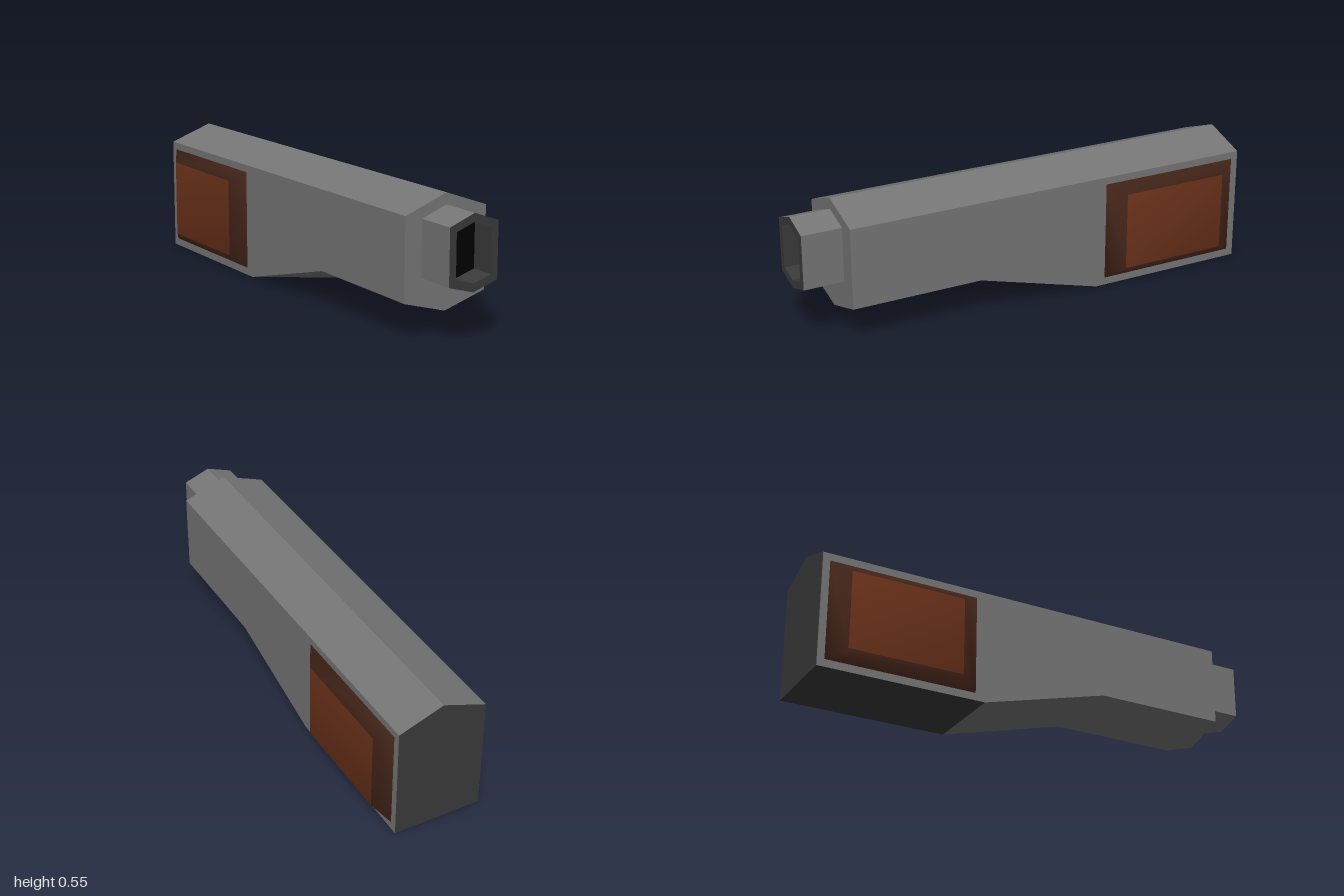
import * as THREE from 'three';

// Six-sided outline, counter-clockwise: bottom point, low shoulders, high shoulders, top point
const hexagon = (w, bottom, low, high, top) =>
  [[0, bottom], [w, low], [w, high], [0, top], [-w, high], [-w, low]];

// Skin between outlines placed along z, one normal per panel;
// back-to-front faces outward, front-to-back faces inward
function loft(sections, closed = true) {
  const pos = [], nor = [];
  for (let s = 0; s < sections.length - 1; s++) {
    const [p, z0] = sections[s], [q, z1] = sections[s + 1];
    for (let i = 0; i < (closed ? p.length : p.length - 1); i++) {
      const j = (i + 1) % p.length;
      const a = new THREE.Vector3(...p[i], z0), b = new THREE.Vector3(...p[j], z0);
      const c = new THREE.Vector3(...q[j], z1), d = new THREE.Vector3(...q[i], z1);
      const n = c.clone().sub(a).cross(d.clone().sub(b)).normalize();
      for (const v of [a, b, c, a, c, d]) {
        pos.push(v.x, v.y, v.z);
        nor.push(n.x, n.y, n.z);
      }
    }
  }
  const geo = new THREE.BufferGeometry();
  geo.setAttribute('position', new THREE.Float32BufferAttribute(pos, 3));
  geo.setAttribute('normal', new THREE.Float32BufferAttribute(nor, 3));
  return geo;
}

const toPoints = (pts) => pts.map(([x, y]) => new THREE.Vector2(x, y));

// Flat face with an optional hole, facing +z
function face(outline, z, hole) {
  const shape = new THREE.Shape(toPoints(outline));
  if (hole) shape.holes.push(new THREE.Path(toPoints(hole)));
  return new THREE.ShapeGeometry(shape).translate(0, 0, z);
}

// Bevelled grip pad facing +z, softly shaded, with groups for bevel and face
function gripPad(w, h, innerW, innerH, depth) {
  const corners = [[-1, -1], [1, -1], [1, 1], [-1, 1]];
  const pos = [], index = [];
  corners.forEach(([x, y]) => pos.push(x * w, y * h, 0));
  corners.forEach(([x, y]) => pos.push(x * innerW, y * innerH, depth));
  for (let i = 0; i < 4; i++) {
    const j = (i + 1) % 4;
    index.push(i, j, j + 4, i, j + 4, i + 4);
  }
  index.push(4, 5, 6, 4, 6, 7);
  const geo = new THREE.BufferGeometry();
  geo.setAttribute('position', new THREE.Float32BufferAttribute(pos, 3));
  geo.setIndex(index);
  geo.addGroup(0, 24, 0);
  geo.addGroup(24, 6, 1);
  geo.computeVertexNormals();
  return geo;
}

export function createModel() {
  const material = (name, color) => {
    const m = new THREE.MeshStandardMaterial({ color });
    m.name = name;
    return m;
  };
  const grey = material('grey metal', 0x767676);
  const dark = material('dark metal', 0x3a3a3a);
  const black = material('bore black', 0x000000);
  const brown = material('brown grip', 0x6b311a);
  const darkBrown = material('dark brown grip edge', 0x442519);

  const model = new THREE.Group();
  const add = (name, geometry, mat, parent = model) => {
    const mesh = new THREE.Mesh(geometry, mat);
    mesh.name = name;
    parent.add(mesh);
    return mesh;
  };

  // Housing: flat-bottomed rear, tapering up to a slimmer front
  const rear = hexagon(0.188, 0, 0, 0.485, 0.553);
  const front = hexagon(0.188, 0.095, 0.15, 0.485, 0.553);
  const body = new THREE.Group();
  body.name = 'body';
  model.add(body);
  const rearTop = rear.slice(1);
  add('rearShell', loft([[rearTop, -1], [rearTop, -0.287]], false), grey, body);
  add('frontShell', loft([[rear, -0.287], [front, 0.265], [front, 0.83]]), grey, body);
  add('bodyFront', face(front, 0.83), grey, body);

  // Dark underside and back of the rear
  add('rearBottom', new THREE.PlaneGeometry(0.376, 0.713).rotateX(Math.PI / 2).translate(0, 0, -0.6435), dark, body);
  add('bodyBack', face(rear, 1).rotateY(Math.PI), dark, body);

  // Muzzle with a shallow hollow bore
  const outer = hexagon(0.112, 0.207, 0.24, 0.466, 0.507);
  const inner = hexagon(0.081, 0.24, 0.264, 0.445, 0.473);
  const muzzle = new THREE.Group();
  muzzle.name = 'muzzle';
  model.add(muzzle);
  add('muzzleShell', loft([[outer, 0.83], [outer, 1]]), grey, muzzle);
  add('muzzleRim', face(outer, 1, inner), dark, muzzle);
  add('boreWall', loft([[inner, 1], [inner, 0.9]]), dark, muzzle);
  add('boreEnd', face(inner, 0.9), black, muzzle);

  // Grip pads on both sides
  const padGeometry = gripPad(0.32, 0.211, 0.243, 0.166, 0.045);
  for (const [name, side] of [['leftGrip', 1], ['rightGrip', -1]]) {
    const pad = add(name, padGeometry, [darkBrown, brown]);
    pad.rotation.y = side * Math.PI / 2;
    pad.position.set(side * 0.188, 0.243, -0.649);
  }
  return model;
}
